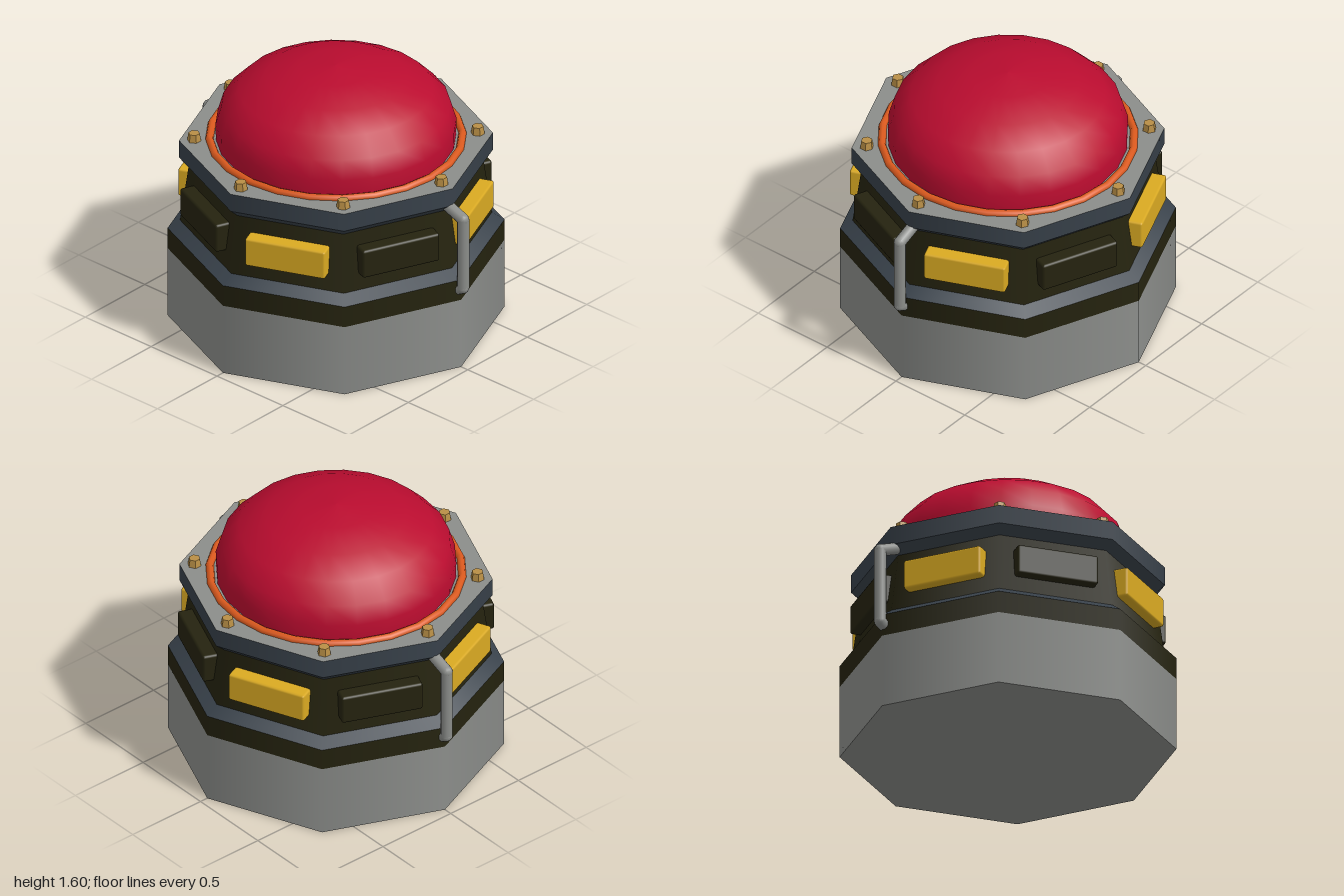
import * as THREE from 'three';
import { RoundedBoxGeometry } from 'three/addons/geometries/RoundedBoxGeometry.js';

const mat = (name, color) => {
  const m = new THREE.MeshStandardMaterial({ color });
  m.name = name;
  return m;
};

export function createModel() {
  const group = new THREE.Group();
  const grey = mat('grey metal', 0x8b8d8a);
  const olive = mat('dark olive', 0x25230f);
  const slate = mat('slate', 0x38414a);
  const red = mat('red', 0xba0c2f);
  const orange = mat('orange', 0xdc5a1e);
  const yellow = mat('yellow', 0xdaaa22);
  const brass = mat('brass', 0xb98f46);

  const add = (name, geometry, material, parent = group) => {
    const m = new THREE.Mesh(geometry, material);
    m.name = name;
    parent.add(m);
    return m;
  };

  // Stacked octagonal bands, corners on the x and z axes
  const band = (name, y0, r0, y1, r1, material, open = true) => {
    const g = new THREE.CylinderGeometry(r1, r0, y1 - y0, 8, 1, open);
    add(name, g, material).position.y = (y0 + y1) / 2;
  };
  band('base', 0, 0.95, 0.435, 0.95, grey, false);
  band('baseBand', 0.435, 0.95, 0.565, 0.95, olive);
  band('shoulder', 0.565, 0.95, 0.615, 0.88, slate);
  band('body', 0.615, 0.88, 0.97, 0.83, olive);
  band('rimUnderside', 0.97, 0.83, 1.02, 0.885, slate);
  band('rim', 1.02, 0.885, 1.13, 0.885, slate);

  // Flat deck closing the top
  const deck = add('deck', new THREE.CircleGeometry(0.885, 8), grey);
  deck.rotation.x = -Math.PI / 2;
  deck.position.y = 1.13;

  // Button dome: short wall, then a flattened half ellipse
  const profile = [new THREE.Vector2(0.677, 1.12)];
  for (let i = 0; i <= 5; i++) {
    const a = (i * Math.PI) / 10;
    profile.push(new THREE.Vector2(i === 5 ? 0 : 0.68 * Math.cos(a), 1.23 + 0.365 * Math.sin(a)));
  }
  add('dome', new THREE.LatheGeometry(profile, 24), red);

  // Seal ring around the dome
  const ring = add('sealRing', new THREE.TorusGeometry(0.714, 0.023, 8, 24), orange);
  ring.rotation.x = Math.PI / 2;
  ring.position.y = 1.135;

  // One bolt per corner and one lamp per side
  const boltGeometry = new THREE.CylinderGeometry(0.033, 0.04, 0.05, 6).toNonIndexed();
  boltGeometry.computeVertexNormals();
  const lampGeometry = new RoundedBoxGeometry(0.48, 0.175, 0.13, 1, 0.014);
  for (let k = 0; k < 8; k++) {
    const a = (k * Math.PI) / 4;
    add('bolt', boltGeometry, brass).position.set(0.8 * Math.sin(a), 1.152, 0.8 * Math.cos(a));

    const b = a + Math.PI / 8;
    const lamp = add(k % 2 ? 'darkLamp' : 'yellowLamp', lampGeometry, k % 2 ? olive : yellow);
    lamp.position.set(0.797 * Math.sin(b), 0.797, 0.797 * Math.cos(b));
    lamp.rotation.y = b;
  }

  // Side handles: round bars with rounded joints
  const path = [[0.84, 1.01], [0.965, 0.962], [0.965, 0.52], [0.91, 0.49]];
  for (const side of [1, -1]) {
    const handle = new THREE.Group();
    handle.name = side > 0 ? 'leftHandle' : 'rightHandle';
    group.add(handle);
    for (let i = 0; i < 3; i++) {
      const p = new THREE.Vector3(side * path[i][0], path[i][1], 0);
      const q = new THREE.Vector3(side * path[i + 1][0], path[i + 1][1], 0);
      const d = q.clone().sub(p);
      const bar = add('handleBar', new THREE.CapsuleGeometry(0.035, d.length(), 4, 10), grey, handle);
      bar.position.copy(p).add(q).multiplyScalar(0.5);
      bar.quaternion.setFromUnitVectors(new THREE.Vector3(0, 1, 0), d.normalize());
    }
  }
  return group;
}
